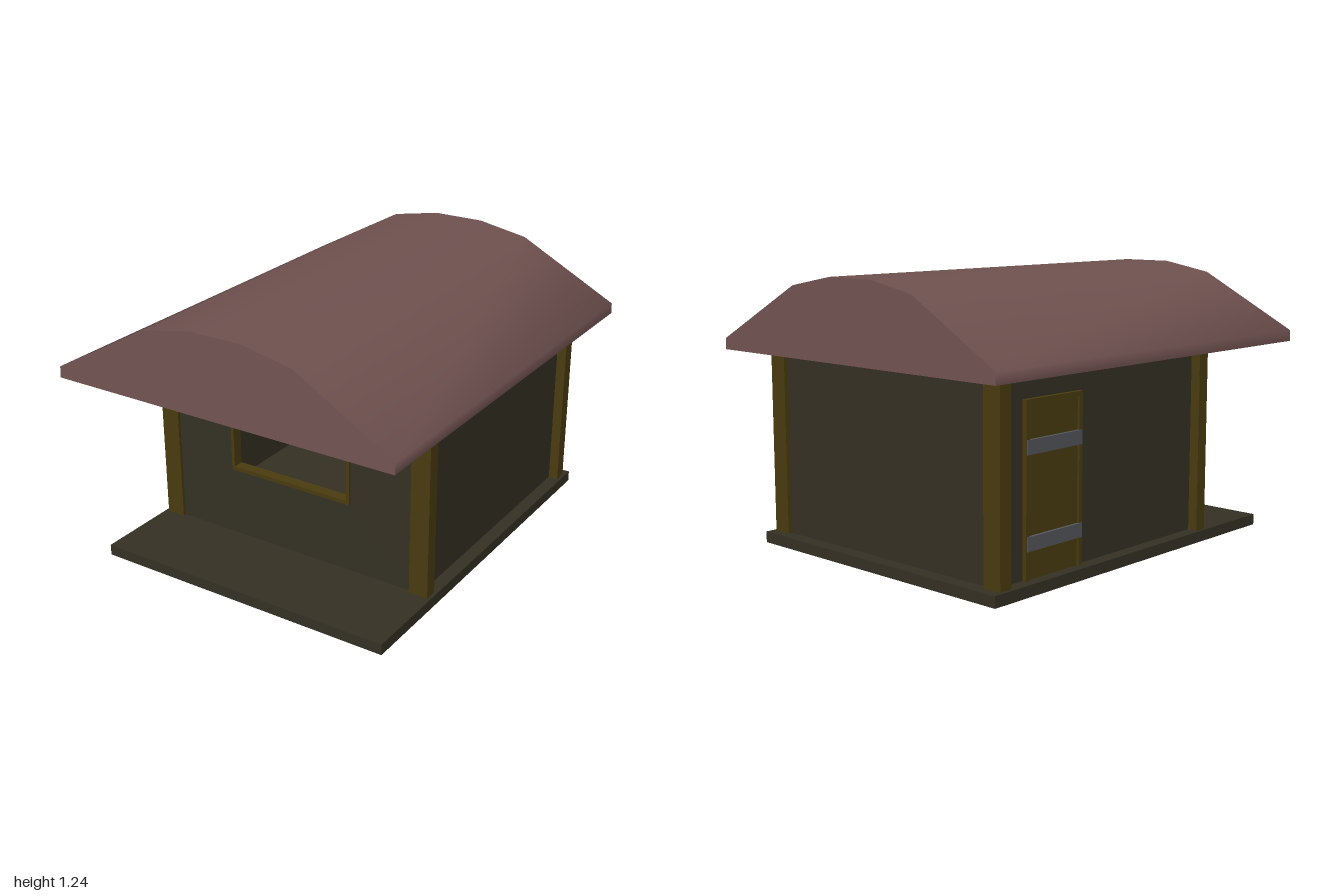
import * as THREE from 'three';
import { toCreasedNormals } from 'three/addons/utils/BufferGeometryUtils.js';

const wallMat = new THREE.MeshStandardMaterial({ color: 0x353124 });
const woodMat = new THREE.MeshStandardMaterial({ color: 0x4a3c10 });
const roofMat = new THREE.MeshStandardMaterial({ color: 0x705250 });
const metalMat = new THREE.MeshStandardMaterial({ color: 0x55575c });

const FLOOR = 0.05, EAVES = 0.885;

// Box given by its minimum and maximum on each axis
function box(parent, name, mat, [x0, x1], [y0, y1], [z0, z1]) {
  const mesh = new THREE.Mesh(new THREE.BoxGeometry(x1 - x0, y1 - y0, z1 - z0), mat);
  mesh.position.set((x0 + x1) / 2, (y0 + y1) / 2, (z0 + z1) / 2);
  mesh.name = name;
  parent.add(mesh);
  return mesh;
}

function rectangle(path, x0, x1, y0, y1) {
  path.moveTo(x0, y0);
  path.lineTo(x1, y0);
  path.lineTo(x1, y1);
  path.lineTo(x0, y1);
  path.closePath();
  return path;
}

// Rectangular panel with a rectangular opening, facing +z
function openPanel(name, mat, outer, inner, depth) {
  const shape = rectangle(new THREE.Shape(), ...outer);
  shape.holes.push(rectangle(new THREE.Path(), ...inner));
  const mesh = new THREE.Mesh(new THREE.ExtrudeGeometry(shape, { depth, bevelEnabled: false }), mat);
  mesh.name = name;
  return mesh;
}

// Curved roof block whose gable ends lean slightly inward
function roof() {
  const half = [[0.83, EAVES], [0.83, 0.935], [0.365, 1.19], [0.125, 1.235]];
  const points = [...half, ...half.map(([x, y]) => [-x, y]).reverse()];
  const shape = new THREE.Shape(points.map(([x, y]) => new THREE.Vector2(x, y)));
  const geo = new THREE.ExtrudeGeometry(shape, { depth: 2, bevelEnabled: false });
  geo.translate(0, 0, -1);
  const pos = geo.attributes.position;
  for (let i = 0; i < pos.count; i++) {
    pos.setZ(i, pos.getZ(i) * (1 - 0.07 * (pos.getY(i) - EAVES)));
  }
  const mesh = new THREE.Mesh(toCreasedNormals(geo, 1.15), roofMat);
  mesh.name = 'roof';
  return mesh;
}

export function createModel() {
  const house = new THREE.Group();
  house.name = 'house';

  // Floor slab with a porch at the front
  box(house, 'base', wallMat, [-0.72, 0.72], [0, FLOOR], [-0.89, 0.9]);

  // Walls
  const rise = [FLOOR, EAVES];
  box(house, 'backWall', wallMat, [-0.66, 0.66], rise, [-0.825, -0.8]);
  box(house, 'leftWall', wallMat, [0.635, 0.66], rise, [-0.8, 0.47]);
  box(house, 'rightWall', wallMat, [-0.66, -0.635], rise, [-0.8, 0.47]);
  const frontWall = openPanel('frontWall', wallMat,
    [-0.66, 0.66, ...rise], [-0.3, 0.3, 0.39, 0.705], 0.025);
  frontWall.position.z = 0.47;
  house.add(frontWall);

  // Window frame lining the opening
  const windowFrame = openPanel('windowFrame', woodMat,
    [-0.312, 0.312, 0.38, 0.717], [-0.297, 0.297, 0.398, 0.7], 0.05);
  windowFrame.position.z = 0.46;
  house.add(windowFrame);

  // Corner posts
  for (const side of [-1, 1]) {
    const x = side > 0 ? [0.615, 0.705] : [-0.705, -0.615];
    box(house, 'frontPost', woodMat, x, rise, [0.45, 0.51]);
    box(house, 'backPost', woodMat, x, rise, [-0.845, -0.783]);
  }

  // Door in the right wall, with frame and two metal straps
  const door = new THREE.Group();
  door.name = 'door';
  const z0 = -0.67, z1 = -0.33, top = 0.76, rim = 0.02;
  box(door, 'doorPanel', woodMat, [-0.67, -0.655], [FLOOR, top], [z0 + rim, z1 - rim]);
  box(door, 'doorJamb', woodMat, [-0.68, -0.655], [FLOOR, top], [z0, z0 + rim]);
  box(door, 'doorJamb', woodMat, [-0.68, -0.655], [FLOOR, top], [z1 - rim, z1]);
  box(door, 'doorLintel', woodMat, [-0.68, -0.655], [top, top + rim], [z0, z1]);
  for (const y of [0.2, 0.59]) {
    box(door, 'doorStrap', metalMat, [-0.684, -0.66], [y - 0.03, y + 0.03], [z0 + 0.005, z1 - 0.005]);
  }
  house.add(door);

  house.add(roof());
  return house;
}
